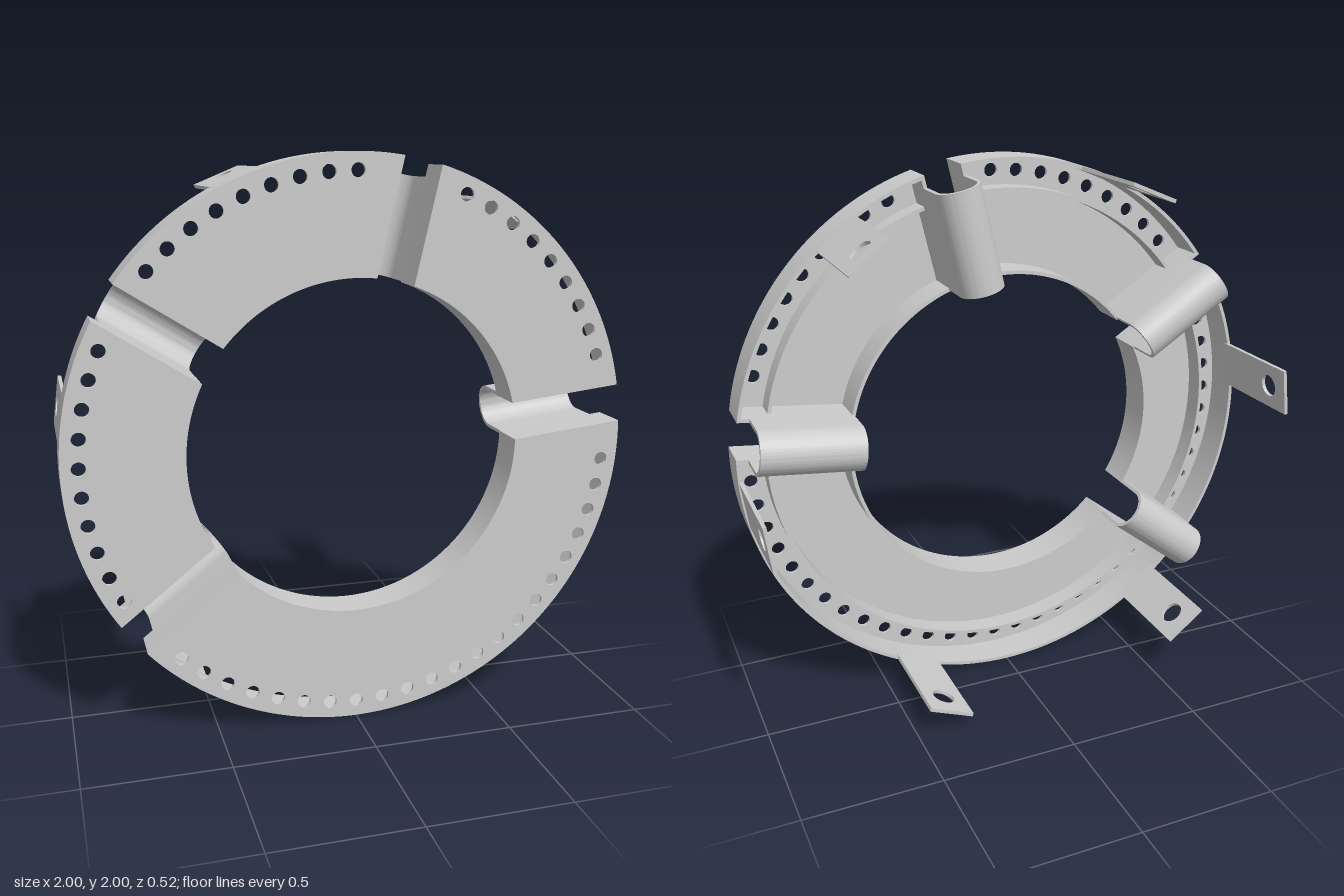
import * as THREE from 'three';
import { toCreasedNormals } from 'three/addons/utils/BufferGeometryUtils.js';

const RAD = Math.PI / 180;
const OUTER = 1, INNER = 0.59;           // ring radii
const FRONT = 0.26, BACK = 0.12;         // depth of the ring body
const SHEET = 0.013;                     // sheet thickness
const SLOT = 0.0675;                     // half width of a slot
const SLOTS = [6.3, 76.9, 147.5, 218.1]; // slot directions in degrees

const material = new THREE.MeshStandardMaterial({ color: 0xcccccc, side: THREE.DoubleSide });

function extrude(shape, depth, curveSegments = 32) {
  const g = new THREE.ExtrudeGeometry(shape, { depth, bevelEnabled: false, curveSegments });
  return toCreasedNormals(g, 30 * RAD);
}

function addMesh(parent, name, geometry) {
  const mesh = new THREE.Mesh(geometry, material);
  mesh.name = name;
  parent.add(mesh);
  return mesh;
}

// ring sector between two parallel-sided slots
function sector(r0, r1, from, to) {
  const d0 = Math.asin(SLOT / r0), d1 = Math.asin(SLOT / r1);
  const s = new THREE.Shape();
  s.absarc(0, 0, r1, from + d1, to - d1, false);
  s.absarc(0, 0, r0, to - d0, from + d0, true);
  s.closePath();
  return s;
}

function circleHole(x, y, r) {
  return new THREE.Path().absarc(x, y, r, 0, Math.PI * 2, true);
}

// turns a (tangent, depth) profile so that it is extruded along the radius
const toRadial = new THREE.Matrix4().makeBasis(
  new THREE.Vector3(0, 1, 0), new THREE.Vector3(0, 0, 1), new THREE.Vector3(1, 0, 0));

function radialExtrude(shape, r0, r1) {
  return extrude(shape, r1 - r0, 24).applyMatrix4(toRadial).translate(r0, 0, 0);
}

// shell segment: perforated face plate, outer and inner walls, rib beside the holes
function makeSegment(fromDeg, toDeg) {
  const g = new THREE.Group();
  g.name = 'ringSegment';
  const from = fromDeg * RAD, to = toDeg * RAD;
  const face = sector(INNER, OUTER, from, to);
  for (let a = 0; a < 720; a += 6) {
    if (a > fromDeg + 8 && a < toDeg - 8) {
      face.holes.push(circleHole(0.94 * Math.cos(a * RAD), 0.94 * Math.sin(a * RAD), 0.024));
    }
  }
  addMesh(g, 'facePlate', extrude(face, SHEET, 40)).position.z = FRONT - SHEET;
  const walls = [
    ['outerWall', OUTER - SHEET, OUTER, BACK],
    ['innerWall', INNER, INNER + SHEET, BACK],
    ['rib', 0.875, 0.888, 0.17],
  ];
  for (const [name, r0, r1, z] of walls) {
    addMesh(g, name, extrude(sector(r0, r1, from, to), FRONT - SHEET - z, 48)).position.z = z;
  }
  return g;
}

// U-shaped spring bridging a slot behind the ring
function makeSpring() {
  const g = new THREE.Group();
  g.name = 'slotSpring';
  const out = SLOT + SHEET, top = FRONT - SHEET, bend = -0.07 + out;
  const s = new THREE.Shape();
  s.moveTo(out, top);
  s.lineTo(SLOT, top);
  s.lineTo(SLOT, bend);
  s.absarc(0, bend, SLOT, 0, -Math.PI, true);
  s.lineTo(-SLOT, top);
  s.lineTo(-out, top);
  s.lineTo(-out, bend);
  s.absarc(0, bend, out, Math.PI, Math.PI * 2, false);
  s.closePath();
  addMesh(g, 'springLoop', radialExtrude(s, INNER, 0.955));
  // slot side walls continued out to the rim
  for (const side of [-1, 1]) {
    const box = new THREE.BoxGeometry(0.035, SHEET, top - BACK);
    addMesh(g, 'slotWall', box).position.set(0.9725, side * (SLOT + SHEET / 2), (top + BACK) / 2);
  }
  return g;
}

// flat mounting tab with a bolt hole
function makeTab() {
  const w = 0.0875;
  const s = new THREE.Shape();
  s.moveTo(-w, -0.26);
  s.lineTo(w, -0.26);
  s.lineTo(w, 0.14);
  s.lineTo(-w, 0.14);
  s.closePath();
  s.holes.push(circleHole(0, -0.16, 0.042));
  const g = new THREE.Group();
  g.name = 'mountingTab';
  addMesh(g, 'tabPlate', radialExtrude(s, 0.98, 0.993));
  return g;
}

export function createModel() {
  const model = new THREE.Group();
  model.name = 'slottedRing';
  const ring = new THREE.Group();
  ring.name = 'ring';
  ring.position.y = 1;
  model.add(ring);

  SLOTS.forEach((a, i) => {
    const next = i + 1 < SLOTS.length ? SLOTS[i + 1] : SLOTS[0] + 360;
    ring.add(makeSegment(a, next));
    const spring = makeSpring();
    spring.rotation.z = a * RAD;
    ring.add(spring);
  });

  for (let i = 0; i < 6; i++) {
    const tab = makeTab();
    tab.rotation.z = (-7.5 + i * 60) * RAD;
    ring.add(tab);
  }
  return model;
}
